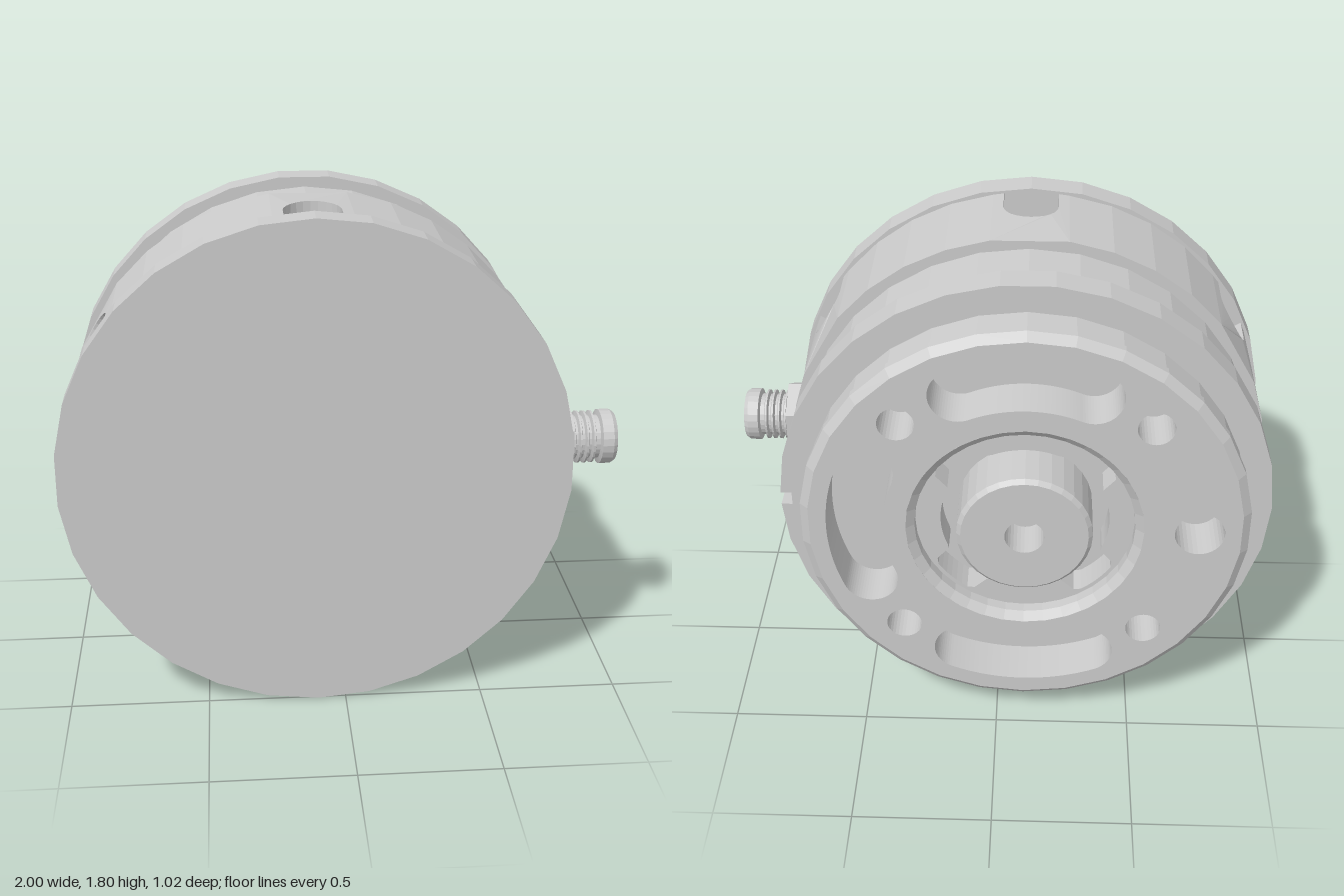
import * as THREE from 'three';

const SIDES = 30, R = 0.885, Z0 = 0.03, Z1 = 0.405;
const { sin, cos, PI, sqrt } = Math;
const deg = THREE.MathUtils.degToRad;

const solid = new THREE.MeshStandardMaterial({ color: 0xcccccc, flatShading: true });
const open = new THREE.MeshStandardMaterial({ color: 0xcccccc, flatShading: true, side: THREE.DoubleSide });

function add(parent, name, geometry, material = solid) {
  const mesh = new THREE.Mesh(geometry, material);
  mesh.name = name;
  parent.add(mesh);
  return mesh;
}

// Turned part about z; profile is [radius, z] with z rising on the outside
function turned(profile, sides = SIDES) {
  return new THREE.LatheGeometry(profile.map(p => new THREE.Vector2(...p)), sides).rotateX(PI / 2);
}

function plate(shape, zBack, zFront) {
  return new THREE.ExtrudeGeometry(shape, { depth: zFront - zBack, bevelEnabled: false, curveSegments: 16 })
    .translate(0, 0, zBack);
}

function circle(Type, r, x = 0, y = 0) {
  return new Type().absarc(x, y, r, 0, 2 * PI, false);
}

function toShape(points) {
  return new THREE.Shape(points.map(p => new THREE.Vector2(...p)));
}

// Maps (tangent, axial, radial) coordinates to the housing at an angle
function wrap(geometry, angle, radial) {
  const p = geometry.attributes.position, c = cos(angle), s = sin(angle);
  for (let i = 0; i < p.count; i++) {
    const t = p.getX(i), z = p.getY(i), r = radial(t, p.getZ(i));
    p.setXYZ(i, c * r - s * t, s * r + c * t, z);
  }
  geometry.computeVertexNormals();
  return geometry;
}

// Piece of the housing wall, flat inside and curved outside
function wallTile(points, angle, floor) {
  const g = new THREE.ExtrudeGeometry(toShape(points), { depth: 1, bevelEnabled: false });
  return wrap(g, angle, (t, k) => (k > 0.5 ? sqrt(R * R - t * t) : floor));
}

function housingWall() {
  const wall = new THREE.Group();
  wall.name = 'housingWall';

  // plain strips between the cut-outs
  const plain = (from, to, count) => {
    const step = (to - from) / count, w = R * sin(deg(step / 2));
    for (let i = 0; i < count; i++) {
      add(wall, 'wallStrip', wallTile([[-w, Z0], [w, Z0], [w, Z1], [-w, Z1]], deg(from + step * (i + 0.5)), 0.72));
    }
  };
  plain(12, 21, 1);
  plain(-21, -12, 1);
  for (let a = 30; a < 330; a += 60) plain(a + 9, a + 51, 4);

  // six arched notches, each with a radial screw hole in its floor
  const w = R * sin(deg(9)), arch = [];
  for (let i = 0; i <= 12; i++) arch.push([0.1 * cos(PI * i / 12), 0.3 - 0.1 * sin(PI * i / 12)]);
  const outline = [[-w, Z0], [w, Z0], [w, Z1], [0.1, Z1], ...arch, [-0.1, Z1], [-w, Z1]];
  for (let a = 30; a < 390; a += 60) {
    add(wall, 'notchWall', wallTile(outline, deg(a), 0.72));
    const floor = toShape([[-0.11, 0.19], [0.11, 0.19], [0.11, Z1], [-0.11, Z1]]);
    floor.holes.push(circle(THREE.Path, 0.055, 0, 0.305));
    const g = new THREE.ExtrudeGeometry(floor, { depth: 0.08, bevelEnabled: false, curveSegments: 12 });
    add(wall, 'notchFloor', wrap(g, deg(a), (t, k) => 0.642 + k));
  }

  // rectangular pocket with a keyway for the connector
  const v = R * sin(deg(12));
  add(wall, 'pocketWall', wallTile([[-v, Z0], [v, Z0], [v, Z1], [0.168, Z1], [0.168, 0.09], [0.025, 0.09],
    [0.025, 0.035], [-0.025, 0.035], [-0.025, 0.09], [-0.168, 0.09], [-0.168, Z1], [-v, Z1]], 0, 0.82));
  add(wall, 'pocketFloor', new THREE.BoxGeometry(0.1, 0.36, Z1 - Z0 - 0.004).translate(0.77, 0, (Z0 + Z1) / 2));
  return wall;
}

function arcSlot(centre) {
  const h = deg(22.5), a = centre - h, b = centre + h, slot = new THREE.Path();
  slot.absarc(0, 0, 0.7, a, b, false);
  slot.absarc(0.6 * cos(b), 0.6 * sin(b), 0.1, b, b + PI, false);
  slot.absarc(0, 0, 0.5, b, a, true);
  slot.absarc(0.6 * cos(a), 0.6 * sin(a), 0.1, a + PI, a + 2 * PI, false);
  return slot;
}

function backEnd() {
  const back = new THREE.Group();
  back.name = 'backEnd';

  // mounting face: three arc slots, four screw holes, one larger dowel hole
  const face = toShape(Array.from({ length: SIDES }, (_, i) =>
    [0.765 * sin(2 * PI * i / SIDES), 0.765 * cos(2 * PI * i / SIDES)]));
  face.holes.push(circle(THREE.Path, 0.42));
  for (const a of [0, PI / 2, -PI / 2]) face.holes.push(arcSlot(a));
  for (let i = 0; i < 4; i++) {
    const a = PI / 4 + i * PI / 2;
    face.holes.push(circle(THREE.Path, 0.064, 0.62 * cos(a), 0.62 * sin(a)));
  }
  face.holes.push(circle(THREE.Path, 0.088, -0.615, 0));
  add(back, 'mountingFace', plate(face, -0.475, -0.295));
  add(back, 'chamferedRim', turned([[0.765, -0.475], [0.795, -0.45], [0.795, -0.42], [0.785, -0.415], [0.785, -0.3]]), open);
  add(back, 'boreSleeve', turned([[0.42, -0.475], [0.39, -0.45], [0.39, -0.3]], 36), open);

  // inner ring with four scallops round the hub
  const ring = circle(THREE.Shape, 0.4), scallops = [];
  for (let i = 0; i < 96; i++) {
    const a = 2 * PI * i / 96;
    const r = 0.3 + 0.075 * THREE.MathUtils.smoothstep(-cos(4 * a), 0.2, 0.6);
    scallops.push(new THREE.Vector2(r * cos(a), r * sin(a)));
  }
  ring.holes.push(new THREE.Path(scallops));
  add(back, 'scallopedRing', plate(ring, -0.41, -0.3));

  // shaft hub with a blind centre bore
  add(back, 'hub', turned([[0, -0.36], [0.07, -0.36], [0.07, -0.51], [0.225, -0.51], [0.24, -0.495], [0.24, -0.295]], 32));
  return back;
}

function connector() {
  const plug = new THREE.Group();
  plug.name = 'connector';
  const alongX = g => g.rotateZ(-PI / 2);
  add(plug, 'hexNut', alongX(new THREE.CylinderGeometry(0.14, 0.14, 0.11, 6).rotateY(PI / 6)).translate(0.875, 0, 0));

  // threaded barrel ending in a recessed socket
  const profile = [[0.08, 0.92]];
  for (let i = 0; i < 4; i++) {
    const x = 0.932 + i * 0.025;
    profile.push([0.08, x], [0.096, x + 0.005], [0.096, x + 0.012], [0.08, x + 0.017]);
  }
  profile.push([0.08, 1.04], [0.1, 1.045], [0.1, 1.085], [0.09, 1.1], [0.08, 1.1], [0.08, 1.03], [0, 1.03]);
  add(plug, 'barrel', alongX(new THREE.LatheGeometry(profile.map(p => new THREE.Vector2(...p)), 24)));
  for (const [y, z] of [[0.04, 0.035], [0.05, -0.015], [-0.015, -0.05], [-0.055, -0.015]]) {
    add(plug, 'pin', alongX(new THREE.CylinderGeometry(0.011, 0.011, 0.06, 10)).translate(1.055, y, z));
  }
  plug.position.z = 0.245;
  return plug;
}

export function createModel() {
  const model = new THREE.Group();
  model.name = 'rotaryDrive';
  const body = new THREE.Group();
  body.name = 'body';
  body.position.set(-0.1, 0.9, 0);
  model.add(body);

  add(body, 'frontFlange', turned([[0, Z1], [0.9, Z1], [0.9, 0.51], [0, 0.51]]));
  add(body, 'innerPlate', turned([[0, 0.295], [0.6, 0.295], [0.6, 0.315], [0, 0.315]]));
  body.add(housingWall());
  add(body, 'middleSection', turned([[0, -0.3], [0.845, -0.3], [0.845, Z0], [0, Z0]]));

  // raised collar with a keyway on the connector side
  const collar = [[0.845, -0.025], [0.845, 0.025], [0.885, 0.025]];
  for (let i = 1; i < SIDES; i++) collar.push([R * cos(2 * PI * i / SIDES), R * sin(2 * PI * i / SIDES)]);
  collar.push([0.885, -0.025]);
  const collarShape = toShape(collar);
  collarShape.holes.push(circle(THREE.Path, 0.775));
  add(body, 'collar', plate(collarShape, -0.31, -0.2));

  body.add(backEnd(), connector());
  return model;
}
